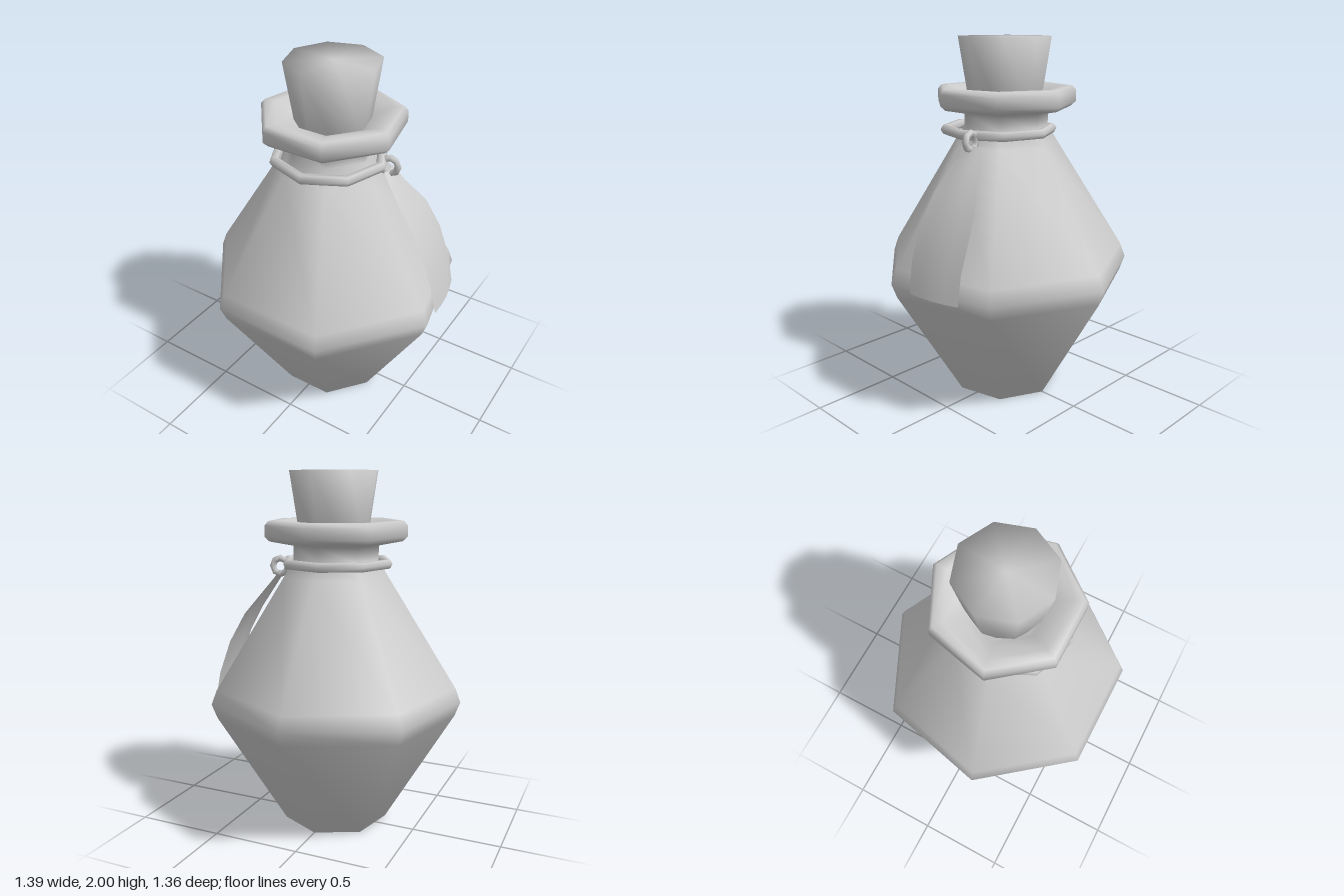
import * as THREE from 'three';
import { mergeVertices } from 'three/addons/utils/BufferGeometryUtils.js';

const grey = new THREE.MeshStandardMaterial({ color: 0xcccccc });
const greyThin = new THREE.MeshStandardMaterial({ color: 0xcccccc, side: THREE.DoubleSide });

// Share vertices so that the low-poly form is shaded smoothly everywhere.
function smooth(geometry) {
  geometry.deleteAttribute('normal');
  geometry.deleteAttribute('uv');
  const merged = mergeVertices(geometry, 1e-4);
  merged.computeVertexNormals();
  return merged;
}

function turned(profile, sides, start) {
  const points = profile.map(([r, y]) => new THREE.Vector2(r, y));
  return smooth(new THREE.LatheGeometry(points, sides, start));
}

function addPart(group, name, geometry, x, y, z, material = grey) {
  const mesh = new THREE.Mesh(geometry, material);
  mesh.name = name;
  mesh.position.set(x, y, z);
  group.add(mesh);
  return mesh;
}

// Curved paper tag: rows of [y, back z, back x, front z, front x], with a slight bulge.
function tagGeometry() {
  const rows = [
    [1.45, -0.09, 0.29, 0.015, 0.305],
    [1.36, -0.12, 0.36, 0.045, 0.38],
    [1.22, -0.21, 0.45, 0.07, 0.49],
    [1.06, -0.245, 0.53, 0.08, 0.585],
    [0.87, -0.25, 0.60, 0.075, 0.65],
    [0.71, -0.255, 0.63, 0.06, 0.68],
  ];
  const positions = [], index = [], columns = 4;
  rows.forEach(([y, zb, xb, zf, xf], i) => {
    for (let j = 0; j <= columns; j++) {
      const t = j / columns;
      const bulge = 0.015 * Math.sin(Math.PI * t);
      positions.push(xf + (xb - xf) * t + bulge, y, zf + (zb - zf) * t);
      if (i && j) {
        const d = i * (columns + 1) + j, b = d - columns - 1;
        index.push(b - 1, d - 1, b, b, d - 1, d);
      }
    }
  });
  const geometry = new THREE.BufferGeometry();
  geometry.setAttribute('position', new THREE.Float32BufferAttribute(positions, 3));
  geometry.setIndex(index);
  geometry.computeVertexNormals();
  return geometry;
}

export function createModel() {
  const model = new THREE.Group();
  model.name = 'potionBottle';

  // Seven-sided bottle: base, belly, shoulder, neck, lip and recessed mouth
  const bottle = [
    [0, 0], [0.3, 0], [0.685, 0.65], [0.715, 0.73], [0.685, 0.81],
    [0.295, 1.43], [0.24, 1.52], [0.24, 1.6], [0.37, 1.625], [0.397, 1.65],
    [0.397, 1.71], [0.375, 1.735], [0.32, 1.735], [0.22, 1.695], [0.17, 1.64], [0, 1.64],
  ];
  addPart(model, 'bottle', turned(bottle, 7, Math.PI), 0, 0, 0.035);

  // Eight-sided tapered cork
  const cork = [[0, 1.6], [0.19, 1.6], [0.252, 2], [0, 2]];
  addPart(model, 'cork', turned(cork, 8, Math.PI - 0.08), 0.006, 0, 0.03);

  // Cord ring lying loosely around the neck
  const ring = smooth(new THREE.TorusGeometry(0.295, 0.028, 6, 8));
  ring.rotateX(Math.PI / 2).rotateY(0.08);
  addPart(model, 'neckRing', ring, 0.01, 1.5, 0.072);

  // Small link joining the tag to the ring
  const link = smooth(new THREE.TorusGeometry(0.045, 0.019, 6, 8));
  addPart(model, 'tagLink', link, 0.315, 1.475, -0.027).rotation.y = 0.15;

  addPart(model, 'tag', tagGeometry(), 0, 0, 0, greyThin);

  return model;
}
